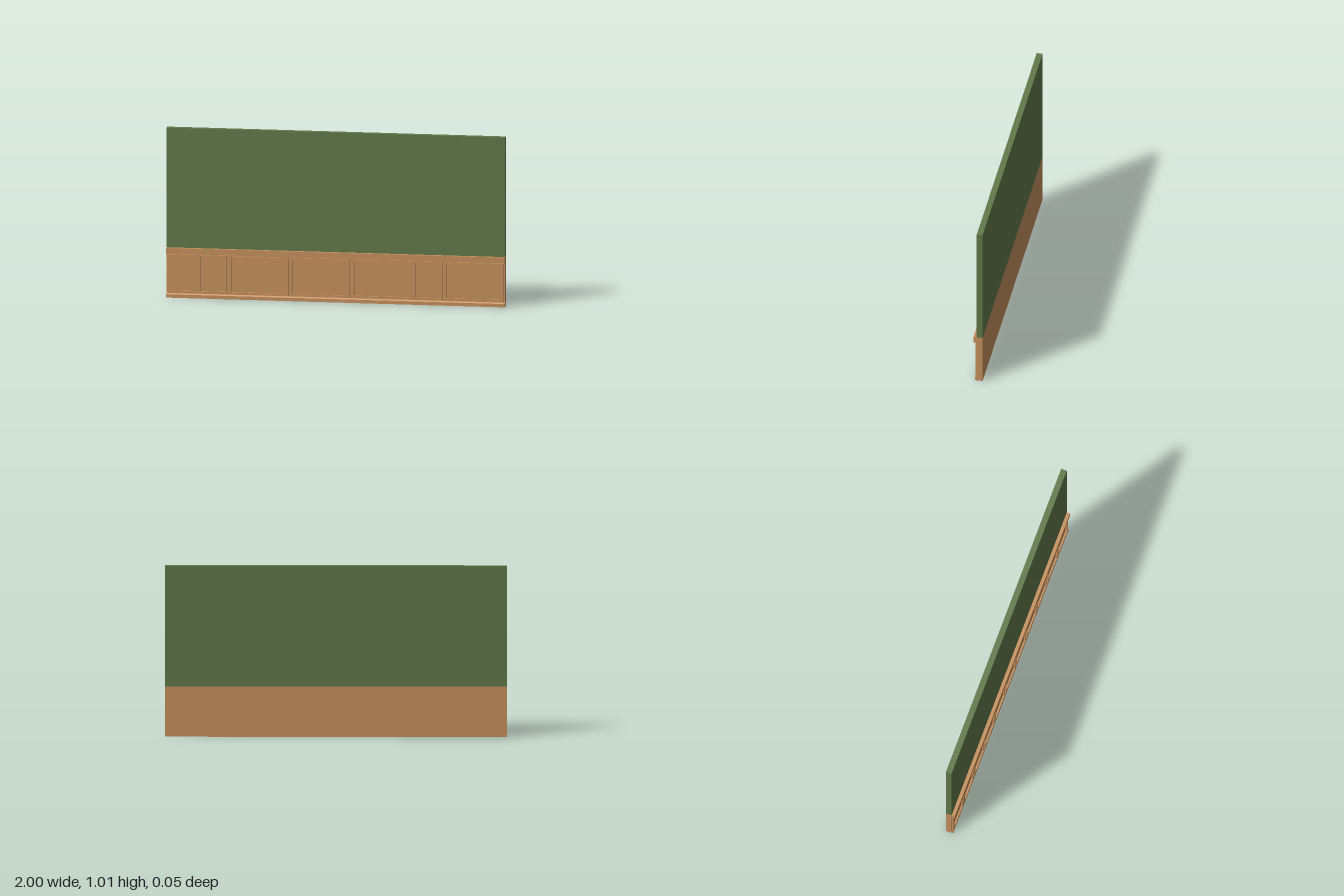
import * as THREE from 'three';

export function createModel() {
  const group = new THREE.Group();
  const wood = new THREE.MeshStandardMaterial({ color: 0xc8925e });
  wood.name = 'wood';
  const green = new THREE.MeshStandardMaterial({ color: 0x62794a });
  green.name = 'green paint';

  const back = -0.027, face = 0.008, trim = 0.018, rail = 0.028;
  const split = 0.298, top = 1.01;

  function add(name, geometry, material) {
    const mesh = new THREE.Mesh(geometry, material);
    mesh.name = name;
    group.add(mesh);
    return mesh;
  }
  // Full-length box between two heights and two depths
  function slab(name, y0, y1, z0, z1, material) {
    add(name, new THREE.BoxGeometry(2, y1 - y0, z1 - z0), material)
      .position.set(0, (y0 + y1) / 2, (z0 + z1) / 2);
  }

  slab('upperWall', split, top, back, face, green);
  slab('lowerWall', 0, split, back, face, wood);
  slab('chairRail', 0.262, split, face, rail, wood);

  // Skirting with a sloped top edge, extruded along x
  const profile = new THREE.Shape([
    [-face, 0], [-face, 0.027], [-0.011, 0.026], [-trim, 0.02], [-trim, 0],
  ].map(([x, y]) => new THREE.Vector2(x, y)));
  const skirting = new THREE.ExtrudeGeometry(profile, { depth: 2, bevelEnabled: false });
  skirting.rotateY(Math.PI / 2).translate(-1, 0, 0);
  add('skirting', skirting, wood);

  // Row of moulded frames around recessed panels
  const count = 11, pitch = 2 / count;
  const rectangle = (Type, w, y0, y1) => new Type([
    new THREE.Vector2(-w, y0), new THREE.Vector2(w, y0),
    new THREE.Vector2(w, y1), new THREE.Vector2(-w, y1),
  ]);
  const outline = rectangle(THREE.Shape, 0.0835, 0.031, 0.258);
  outline.holes.push(rectangle(THREE.Path, 0.072, 0.043, 0.246));
  const frame = new THREE.ExtrudeGeometry(outline, { depth: trim - face, bevelEnabled: false });
  for (let i = 0; i < count; i++) {
    add('panelFrame', frame, wood).position.set(-1 + pitch * (i + 0.5), 0, face);
  }
  return group;
}
